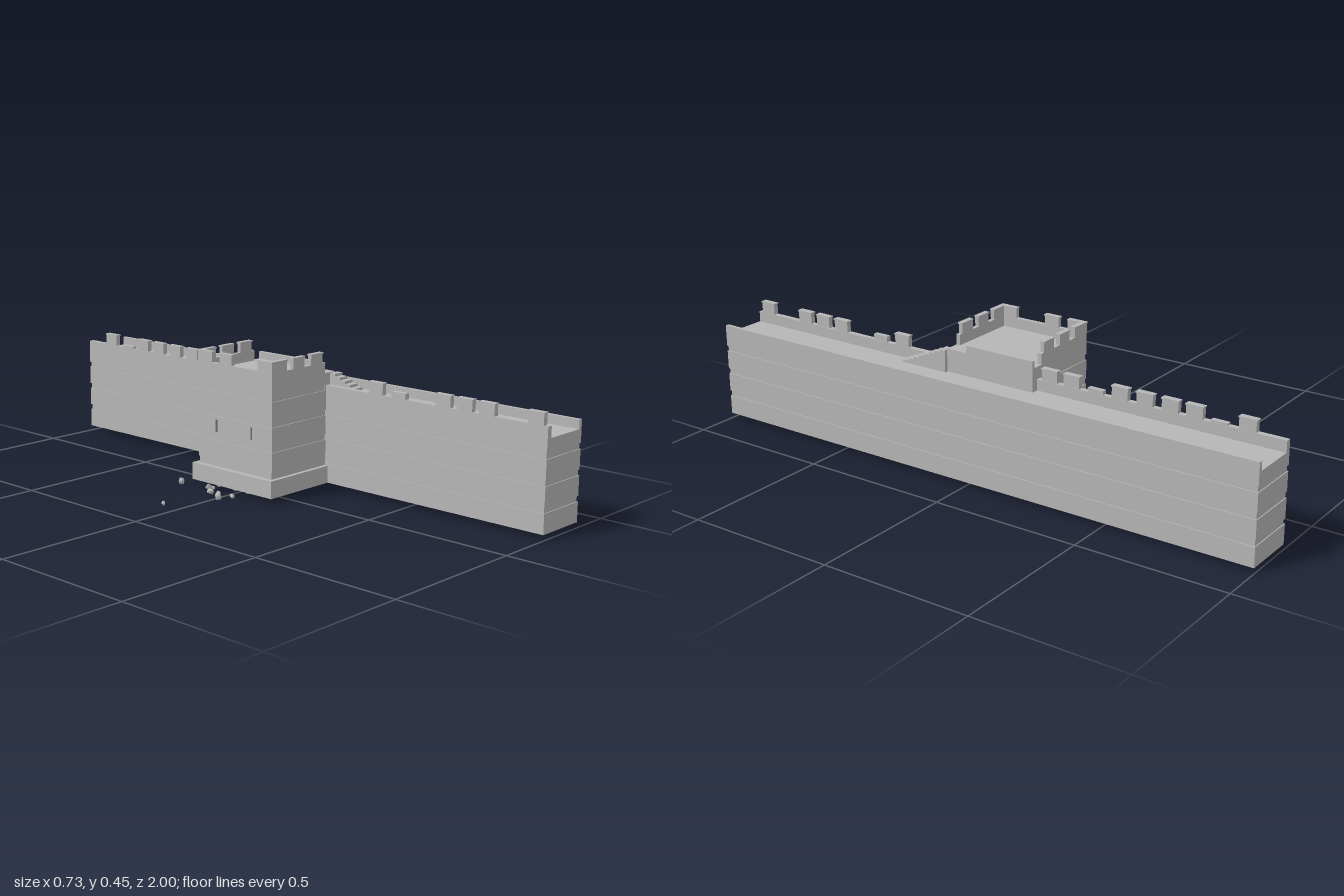
import * as THREE from 'three';

const stone = new THREE.MeshStandardMaterial({ color: 0xb6b6b6 });
stone.name = 'grey stone';
const slitDark = new THREE.MeshStandardMaterial({ color: 0x6a6a6a });
slitDark.name = 'dark opening';

// Box given by its limits on each axis
function block(parent, name, x0, x1, y0, y1, z0, z1, material = stone) {
  const mesh = new THREE.Mesh(new THREE.BoxGeometry(x1 - x0, y1 - y0, z1 - z0), material);
  mesh.position.set((x0 + x1) / 2, (y0 + y1) / 2, (z0 + z1) / 2);
  mesh.name = name;
  parent.add(mesh);
  return mesh;
}

// Stacked courses, every second one a narrow band set back slightly
function courses(parent, name, levels, x0, x1, z0, z1) {
  for (let i = 0; i < levels.length - 1; i++) {
    const d = i % 2 ? 0.003 : 0;
    block(parent, i % 2 ? name + 'Band' : name + 'Course',
      x0 + d, x1 - d, levels[i], levels[i + 1], z0 + d, z1 - d);
  }
}

// Merlon with a thin overhanging cap
function merlon(parent, x0, x1, y0, y1, z0, z1) {
  const o = 0.002;
  block(parent, 'merlon', x0, x1, y0, y1 - 0.005, z0, z1);
  block(parent, 'merlonCap', x0 - o, x1 + o, y1 - 0.005, y1, z0 - o, z1 + o);
}

// Irregular faceted stone; the same corner always moves the same way
function rock(parent, x, y, z, r, seed) {
  const geo = new THREE.IcosahedronGeometry(r, 0);
  const p = geo.attributes.position;
  for (let i = 0; i < p.count; i++) {
    const a = p.getX(i) / r, b = p.getY(i) / r, c = p.getZ(i) / r;
    const k = 0.85 + 0.25 * Math.sin(a * 5.1 + b * 7.3 + c * 3.7 + seed * 2.4);
    p.setXYZ(i, p.getX(i) * k, p.getY(i) * k, p.getZ(i) * k * 0.9);
  }
  geo.rotateY(seed * 1.7);
  geo.rotateZ(seed * 0.9);
  geo.computeVertexNormals();
  const mesh = new THREE.Mesh(geo, stone);
  mesh.position.set(x, y, z);
  mesh.name = 'rock';
  parent.add(mesh);
  return mesh;
}

function group(parent, name) {
  const g = new THREE.Group();
  g.name = name;
  parent.add(g);
  return g;
}

export function createModel() {
  const model = new THREE.Group();
  model.name = 'fortressWall';

  // Long curtain wall
  const wall = group(model, 'curtainWall');
  courses(wall, 'wall', [0.022, 0.086, 0.104, 0.167, 0.185, 0.248, 0.266, 0.309], 0.185, 0.365, -1, 1);
  block(wall, 'lowParapet', 0.352, 0.365, 0.309, 0.338, -1, 1);
  block(wall, 'outerParapet', 0.186, 0.204, 0.309, 0.345, -1, 1);

  // Wall battlements: z start, z end, top height (worn ones are lower)
  const battlements = group(wall, 'wallBattlements');
  const full = 0.384;
  [[0.93, full], [0.76, full], [0.68, full], [0.6, full], [0.43, 0.364], [0.34, full],
    [-0.235, full], [-0.315, full], [-0.4, 0.358], [-0.485, full], [-0.57, full],
    [-0.655, full], [-0.735, full], [-0.815, 0.352], [-0.905, full]].forEach(([z, top]) => {
    if (top === full) merlon(battlements, 0.186, 0.203, 0.345, top, z, z + 0.055);
    else block(battlements, 'brokenMerlon', 0.186, 0.203, 0.345, top, z, z + 0.055);
  });

  // Tower body on a wider footing
  const tower = group(model, 'tower');
  block(tower, 'towerFooting', -0.085, 0.19, 0.022, 0.079, -0.178, 0.174);
  courses(tower, 'tower', [0.079, 0.083, 0.084, 0.084].slice(0, 2), -0.067, 0.19, -0.16, 0.16);
  block(tower, 'towerBand', -0.067, 0.19, 0.083, 0.102, -0.16, 0.16);
  courses(tower, 'tower', [0.102, 0.165, 0.183, 0.246, 0.264, 0.328, 0.347, 0.385], -0.07, 0.187, -0.163, 0.163);
  block(tower, 'towerLanding', 0.18, 0.228, 0.309, 0.385, -0.163, 0.163);

  // Parapet around the roof deck, open beside the stairs
  const t = 0.014;
  block(tower, 'frontParapet', -0.07, 0.18, 0.385, 0.42, 0.163 - t, 0.163);
  block(tower, 'backParapet', -0.07, 0.18, 0.385, 0.42, -0.163, -0.163 + t);
  block(tower, 'outerTowerParapet', -0.07, -0.07 + t, 0.385, 0.42, -0.163 + t, 0.163 - t);
  block(tower, 'innerTowerParapet', 0.216, 0.228, 0.385, 0.409, -0.163, 0.088);

  // Tower battlements
  const towerTop = group(tower, 'towerBattlements');
  for (const z of [-0.163, 0.163 - t]) {
    for (const [a, b] of [[-0.07, -0.002], [0.028, 0.081], [0.112, 0.166]]) {
      merlon(towerTop, a, b, 0.42, 0.455, z, z + t);
    }
  }
  for (const [a, b] of [[0.1, 0.149], [-0.065, -0.012], [-0.149, -0.1]]) {
    merlon(towerTop, -0.07, -0.07 + t, 0.42, 0.455, a, b);
  }

  // Narrow openings in the outer tower face
  for (const z of [-0.08, 0.075]) {
    block(tower, 'arrowSlit', -0.0715, -0.068, 0.195, 0.235, z - 0.003, z + 0.003, slitDark);
  }

  // Stairs from the walkway up to the landing
  const stairs = group(model, 'stairs');
  const steps = 8, run = 0.17 / steps, rise = 0.073 / steps;
  for (let i = 0; i < steps; i++) {
    const z = 0.333 - i * run;
    block(stairs, 'step', 0.204, 0.24, 0.309, 0.309 + rise * (i + 1), z - run, z);
  }

  // Fallen stones, a few of them wedged under the footing
  const rubble = group(model, 'rubble');
  [[-0.358, 0.027, -0.028, 0.009], [-0.19, 0.028, 0.045, 0.013], [-0.167, 0.029, -0.012, 0.013],
    [-0.162, 0.026, 0.017, 0.01], [-0.148, 0.023, 0.065, 0.01], [-0.135, 0.028, -0.048, 0.015],
    [-0.14, 0.027, -0.172, 0.012], [-0.125, 0.026, -0.04, 0.008], [-0.065, 0.018, -0.075, 0.014],
    [-0.045, 0.016, -0.02, 0.013], [-0.035, 0.018, -0.11, 0.012], [-0.06, 0.018, 0.05, 0.011],
  ].forEach(([x, y, z, r], i) => rock(rubble, x, y, z, r, i + 1));

  return model;
}
